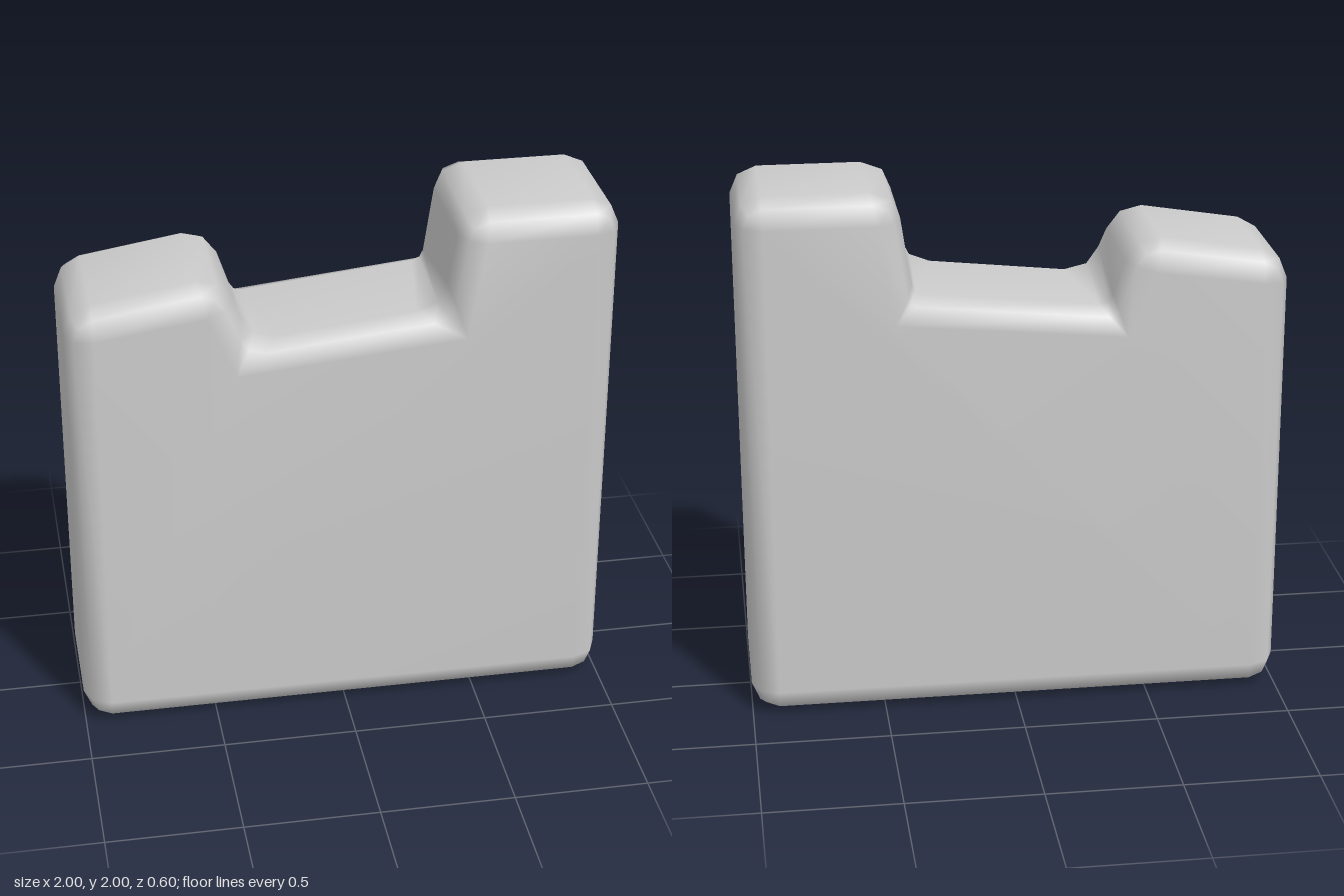
import * as THREE from 'three';
import { mergeVertices } from 'three/addons/utils/BufferGeometryUtils.js';

// Corners counter-clockwise: face = corner of the flat front/back face,
// rim = three points rounding that corner on the outer wall,
// sharp = wall/floor intersection for the two inner notch corners.
const CORNERS = [
  { face: [-0.9, 0.1], rim: [[-1, 0.1], [-0.97, 0.03], [-0.9, 0]] },
  { face: [0.9, 0.1], rim: [[0.9, 0], [0.97, 0.03], [1, 0.1]] },
  { face: [0.9, 1.9], rim: [[1, 1.9], [0.97, 1.97], [0.9, 2]] },
  { face: [0.5, 1.9], rim: [[0.52, 2], [0.44, 1.97], [0.41, 1.9]] },
  { face: [0.44, 1.53], rim: [[0.38, 1.71], [0.345, 1.64], [0.27, 1.61]], sharp: [0.37, 1.62] },
  { face: [-0.4, 1.45], rim: [[-0.24, 1.555], [-0.325, 1.575], [-0.37, 1.64]], sharp: [-0.35, 1.545] },
  { face: [-0.5, 1.69], rim: [[-0.4, 1.71], [-0.45, 1.775], [-0.53, 1.795]] },
  { face: [-0.9, 1.63], rim: [[-0.9, 1.735], [-0.97, 1.695], [-1, 1.62]] },
];

const mix = (a, b, t) => [a[0] + (b[0] - a[0]) * t, a[1] + (b[1] - a[1]) * t];

// One cross-section: spread 0 = flat face outline, 1 = full outer wall.
// The notch fillets tighten towards the back.
function section(z, spread, fillet) {
  return CORNERS.flatMap(({ face, rim, sharp }) => rim.map((p) => {
    const outer = sharp ? mix(sharp, p, fillet) : p;
    return [...mix(face, outer, spread), z];
  }));
}

function slabGeometry() {
  const loops = [
    section(-0.3, 0, 0.4), section(-0.27, 0.7, 0.4), section(-0.2, 1, 0.4),
    section(0.2, 1, 1), section(0.27, 0.7, 1), section(0.3, 0, 1),
  ];
  const n = loops[0].length;
  const index = [];

  // Wall and rounded edges between neighbouring sections
  for (let i = 0; i < loops.length - 1; i++) {
    for (let j = 0; j < n; j++) {
      const k = (j + 1) % n;
      const a = i * n + j, b = i * n + k, c = b + n, d = a + n;
      index.push(a, b, c, a, c, d);
    }
  }

  // Flat front and back faces
  const outline = CORNERS.map(({ face }) => new THREE.Vector2(...face));
  const front = (loops.length - 1) * n;
  for (const [a, b, c] of THREE.ShapeUtils.triangulateShape(outline, [])) {
    index.push(front + a * 3, front + b * 3, front + c * 3);
    index.push(a * 3, c * 3, b * 3);
  }

  const raw = new THREE.BufferGeometry();
  raw.setAttribute('position', new THREE.Float32BufferAttribute(loops.flat(2), 3));
  raw.setIndex(index);

  // Weld the collapsed corners and drop the empty triangles there
  const geometry = mergeVertices(raw, 1e-4);
  const welded = geometry.index.array;
  const kept = [];
  for (let i = 0; i < welded.length; i += 3) {
    const [a, b, c] = welded.slice(i, i + 3);
    if (a !== b && b !== c && c !== a) kept.push(a, b, c);
  }
  geometry.setIndex(kept);
  geometry.computeVertexNormals();
  return geometry;
}

export function createModel() {
  const model = new THREE.Group();
  model.name = 'notchedSlab';
  const slab = new THREE.Mesh(slabGeometry(), new THREE.MeshStandardMaterial({ color: 0xcccccc }));
  slab.name = 'slab';
  model.add(slab);
  return model;
}
